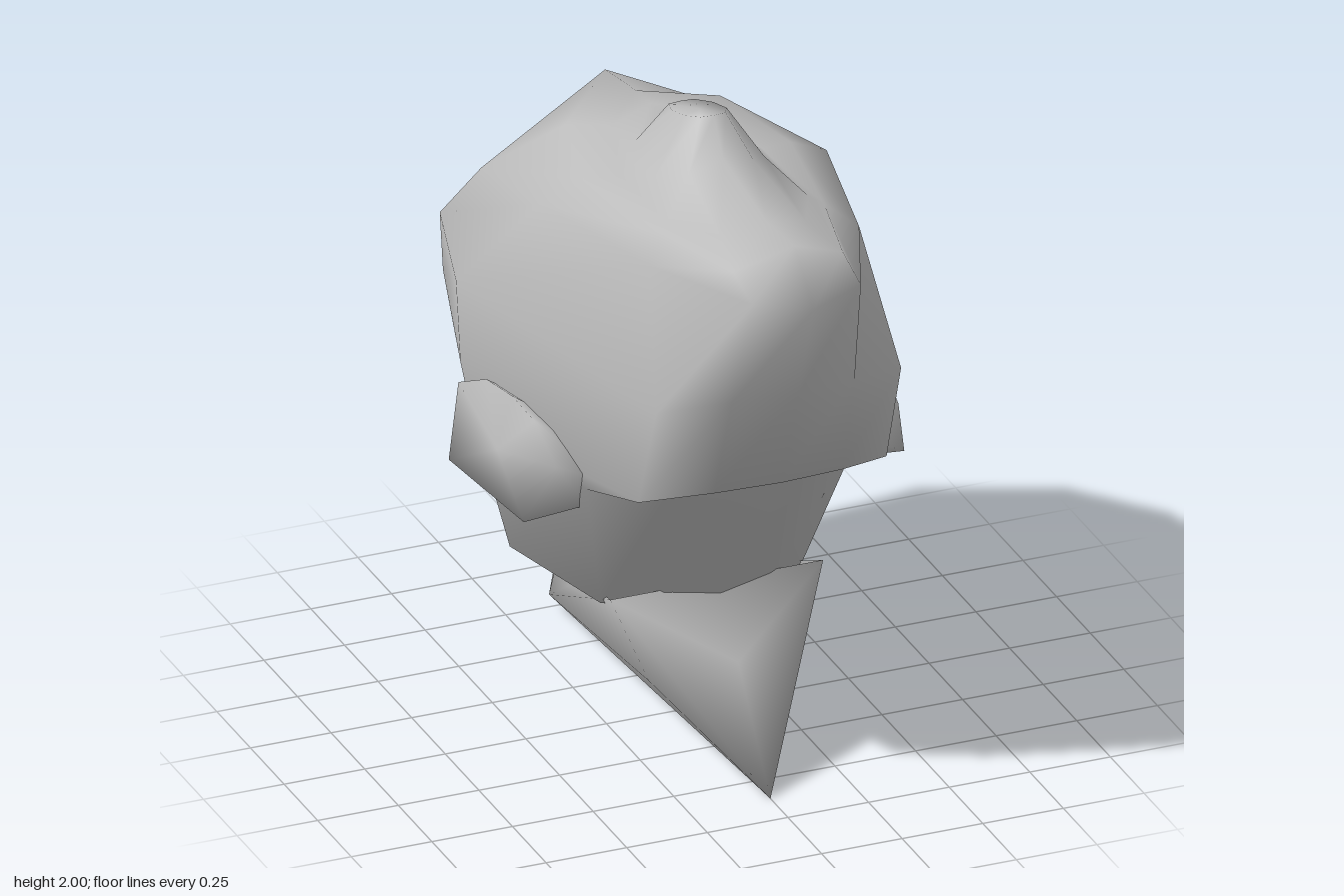
import * as THREE from 'three';

const grey = new THREE.MeshStandardMaterial({ color: 0xbcbcbc });
grey.name = 'grey';
const greySheet = grey.clone();
greySheet.side = THREE.DoubleSide;

function meshFrom(name, points, faces, material) {
  const g = new THREE.BufferGeometry();
  g.setAttribute('position', new THREE.Float32BufferAttribute(points.flat(), 3));
  g.setIndex(faces.flat());
  g.computeVertexNormals();
  const m = new THREE.Mesh(g, material);
  m.name = name;
  return m;
}

// Skins equal-length rings, closing both ends on a centre point
function loft(name, rings, bottom, top, material) {
  const n = rings[0].length, faces = [];
  const points = [...rings.flat(), bottom, top];
  const last = (rings.length - 1) * n, b = rings.length * n;
  for (let j = 0; j < n; j++) {
    const k = (j + 1) % n;
    for (let r = 0; r < last; r += n) {
      faces.push([r + j, r + k, r + n + k], [r + j, r + n + k, r + n + j]);
    }
    faces.push([b, k, j], [b + 1, last + j, last + k]);
  }
  return meshFrom(name, points, faces, material);
}

// Completes a front-to-back half ring with its mirror image
const mirrorRing = (half) =>
  [...half, ...half.slice(1, -1).reverse().map(([x, y, z]) => [-x, y, z])];

// Rounded half ring for the crest
function crestRing([zFront, yFront, zBack, yBack, halfWidth, dip]) {
  return [[0, 1], [0.6, 0.97], [1, 0.75], [1, 0.35], [0.6, 0.03], [0, 0]].map(([u, t]) => [
    u * halfWidth, yBack + (yFront - yBack) * t - dip * u, zBack + (zFront - zBack) * t,
  ]);
}

// Skull with overhanging brow, ending in a small crest on the crown
function createHead() {
  const jaw = [[0, 0.47, 0.24], [0.16, 0.46, 0.21], [0.31, 0.45, 0.1],
    [0.40, 0.435, -0.36], [0.34, 0.65, -0.775], [0, 0.56, -0.90]];
  const cheek = [[0, 0.90, 0.36], [0.2, 0.90, 0.34], [0.42, 0.91, 0.26],
    [0.54, 0.90, -0.30], [0.40, 0.95, -0.78], [0, 0.88, -0.915]];
  const brim = [[0, 1.06, 0.71], [0.2, 1.05, 0.68], [0.385, 1.0, 0.56],
    [0.57, 1.08, -0.32], [0.43, 1.13, -0.785], [0, 1.12, -0.925]];
  const brow = [[0, 1.40, 0.83], [0.19, 1.39, 0.79], [0.38, 1.34, 0.68],
    [0.575, 1.33, -0.34], [0.44, 1.316, -0.785], [0, 1.39, -0.94]];
  const crown = [[0, 1.72, 0.94], [0.168, 1.745, 0.89], [0.325, 1.72, 0.5],
    [0.445, 1.695, -0.03], [0.43, 1.59, -0.5], [0, 1.77, -0.61]];
  const roof = [[0, 1.86, 0.80], [0.17, 1.785, 0.75], [0.25, 1.77, 0.42],
    [0.32, 1.76, 0], [0.24, 1.77, -0.33], [0, 1.81, -0.38]];
  // front z, front y, back z, back y, half width, drop at the sides
  const crest = [
    [0.59, 1.84, -0.27, 1.82, 0.22, 0.055],
    [0.27, 1.89, -0.15, 1.81, 0.17, 0.05],
    [0.20, 2.00, -0.05, 1.93, 0.065, 0],
  ].map(crestRing);
  const rings = [jaw, cheek, brim, brow, crown, roof, ...crest].map(mirrorRing);
  return loft('head', rings, [0, 0.27, -0.38], [0, 1.97, 0.09], grey);
}

// Ear flap: outer loop flares outward at the bottom, inner loop sinks into the head
function createEar(side) {
  const outer = [
    [0.53, 1.02, 0.30], [0.59, 0.81, 0.20], [0.635, 0.81, -0.25], [0.58, 1.02, -0.31],
    [0.56, 1.10, -0.15], [0.545, 1.115, 0], [0.535, 1.10, 0.15],
  ];
  const inner = outer.map(([, y, z]) => [0.38, 0.81 + (y - 0.81) * 0.6, z * 0.85]);
  const place = (p) => p.map(([x, y, z]) => [x * side, y, z]);
  const rings = [place(inner), place(outer)];
  if (side < 0) rings.forEach((r) => r.reverse());
  return loft(side > 0 ? 'leftEar' : 'rightEar', rings,
    [0.38 * side, 0.88, 0], [0.59 * side, 0.95, 0], greySheet);
}

// Neckerchief: pointed front, bands running back to a knot, raised tails behind
function createKerchief() {
  const left = [
    [0.33, 0.52, 0.22],  // 0 front corner
    [0.11, 0.21, -0.50], // 1 band end
    [0.12, 0.05, -0.74], // 2 knot
    [0.21, 0.385, -0.43], // 3 tail corner
    [0.19, 0.21, 0.17],  // 4 side fold
  ];
  const right = left.map(([x, y, z]) => [-x, y, z]);
  const points = [...left, ...right,
    [0, 0.005, 0.62], [0, 0.03, -0.74], [0, 0.33, 0.38], [0, 0.51, -0.81]];
  const tip = 10, knot = 11, chest = 12, tail = 13;
  const half = [
    [tip, 0, chest], [tip, 4, 0], [0, 4, 2], [0, 2, 1], [tip, 2, 4], [tip, knot, 2],
    [1, 2, 3], [3, 2, tail], [2, knot, tail],
  ];
  const flip = (i) => (i < 5 ? i + 5 : i);
  const mirrored = half.map(([a, b, c]) => [flip(a), flip(c), flip(b)]);
  return meshFrom('neckerchief', points, [...half, ...mirrored, [0, 5, chest]], greySheet);
}

export function createModel() {
  const model = new THREE.Group();
  model.name = 'head';
  model.add(createHead(), createEar(1), createEar(-1), createKerchief());
  return model;
}
